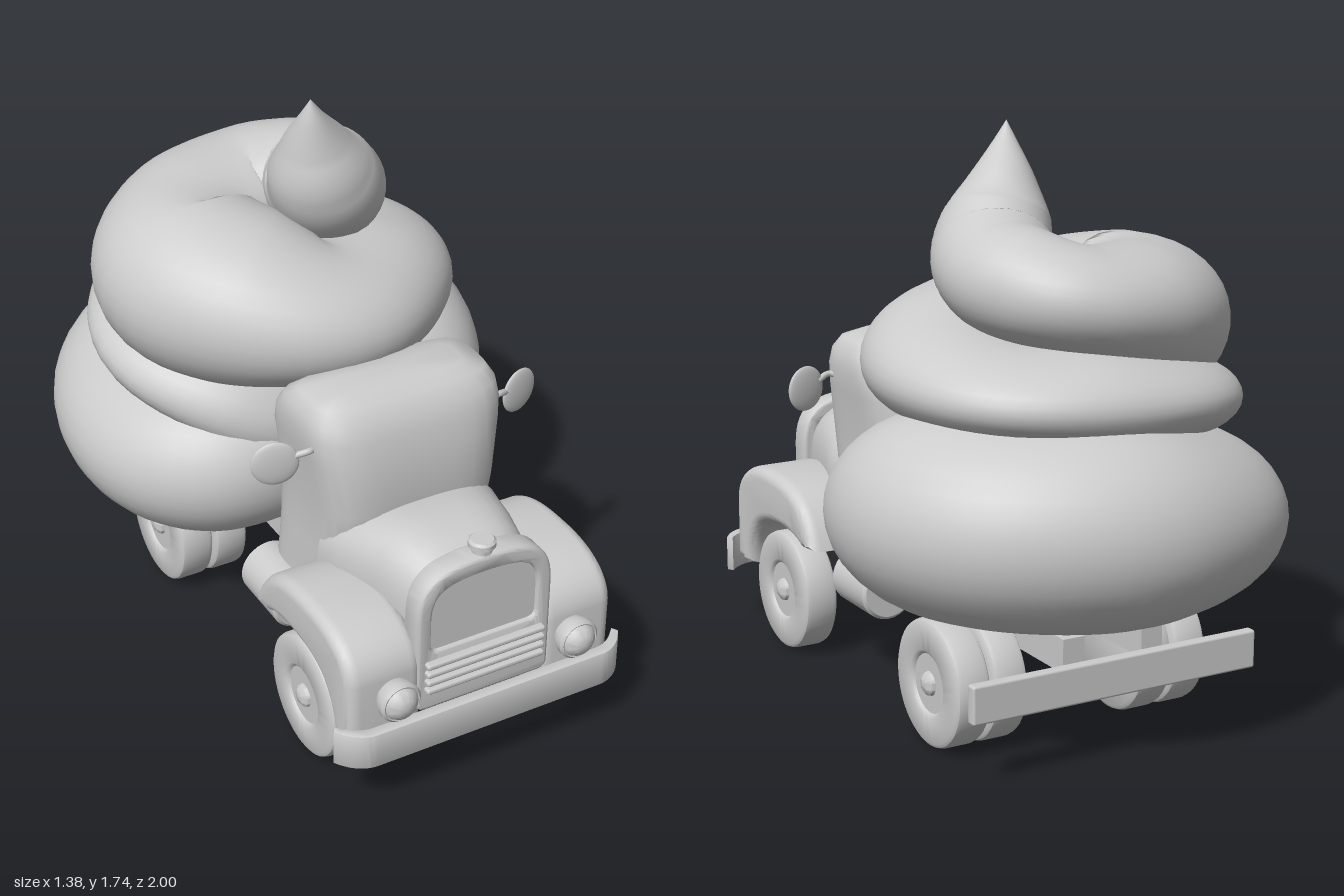
import * as THREE from 'three';
import { toCreasedNormals } from 'three/addons/utils/BufferGeometryUtils.js';
import { RoundedBoxGeometry } from 'three/addons/geometries/RoundedBoxGeometry.js';

const mat = new THREE.MeshStandardMaterial({ color: 0xcccccc, roughness: 0.7 });
const V = (x, y, z) => new THREE.Vector3(x, y, z);

function add(parent, name, geo, x = 0, y = 0, z = 0) {
  const m = new THREE.Mesh(geo, mat);
  m.name = name;
  m.position.set(x, y, z);
  parent.add(m);
  return m;
}

// Closed skin over rings of points; rings run counter-clockwise about the travel direction
function skin(rings) {
  const n = rings[0].length, pos = [], idx = [];
  const center = r => r.reduce((c, p) => c.add(p), V(0, 0, 0)).divideScalar(n);
  const all = [rings[0].map(() => center(rings[0])), ...rings, rings[0].map(() => center(rings.at(-1)))];
  all.forEach(r => r.forEach(p => pos.push(p.x, p.y, p.z)));
  for (let i = 0; i < all.length - 1; i++)
    for (let j = 0; j < n; j++) {
      const a = i * n + j, b = i * n + (j + 1) % n;
      idx.push(a, b, a + n, b, b + n, a + n);
    }
  const g = new THREE.BufferGeometry();
  g.setAttribute('position', new THREE.Float32BufferAttribute(pos, 3));
  g.setIndex(idx);
  g.computeVertexNormals();
  return g;
}

// Unit rounded square
function roundedRing(power, n = 48) {
  return Array.from({ length: n }, (_, j) => {
    const a = (j / n) * Math.PI * 2, c = Math.cos(a), s = Math.sin(a);
    const k = Math.pow(Math.abs(c) ** power + Math.abs(s) ** power, -1 / power);
    return [c * k, s * k];
  });
}

// Soft spiral: one key per 45 degrees, as centre x, y, z, horizontal and vertical radius
function swirlGeometry() {
  const keys = [
    [-0.1, 0.64, 0.02, 0.2, 0.22], [-0.29, 0.615, -0.12, 0.31, 0.26], [-0.34, 0.605, -0.31, 0.35, 0.265],
    [-0.25, 0.64, -0.54, 0.36, 0.27], [0, 0.68, -0.66, 0.34, 0.3], [0.25, 0.69, -0.55, 0.35, 0.3],
    [0.35, 0.69, -0.34, 0.34, 0.3], [0.26, 0.65, -0.14, 0.31, 0.26], [0, 0.7, -0.12, 0.27, 0.24],
    [-0.22, 0.84, -0.12, 0.27, 0.17], [-0.34, 0.93, -0.28, 0.26, 0.13], [-0.22, 0.98, -0.47, 0.28, 0.13],
    [0, 1.02, -0.52, 0.28, 0.14], [0.19, 1.04, -0.45, 0.28, 0.13], [0.27, 1.06, -0.27, 0.25, 0.15],
    [0.21, 1.08, -0.08, 0.25, 0.18], [0, 1.1, 0.05, 0.28, 0.19], [-0.19, 1.13, -0.05, 0.3, 0.25],
    [-0.3, 1.15, -0.25, 0.3, 0.27], [-0.2, 1.22, -0.41, 0.26, 0.21], [0, 1.28, -0.46, 0.23, 0.16],
    [0.12, 1.32, -0.37, 0.19, 0.165], [0.135, 1.34, -0.265, 0.185, 0.165], [0.1, 1.385, -0.16, 0.18, 0.17],
    [0.05, 1.475, -0.105, 0.155, 0.155], [0.018, 1.575, -0.075, 0.1, 0.1], [-0.006, 1.665, -0.047, 0.045, 0.045],
    [-0.02, 1.74, -0.03, 0, 0],
  ];
  const path = new THREE.CatmullRomCurve3(keys.map(k => V(k[0], k[1], k[2])), false, 'catmullrom');
  const size = new THREE.CatmullRomCurve3(keys.map(k => V(k[3], k[4], 0)), false, 'catmullrom');
  const steps = (keys.length - 1) * 8, rings = [];
  for (let i = 0; i <= steps; i++) {
    const t = i / steps, ang = -Math.PI + t * (keys.length - 1) * Math.PI / 4;
    const c = path.getPoint(t), r = size.getPoint(t), T = path.getTangent(t);
    const S = V(Math.sin(ang), 0, -Math.cos(ang));
    S.addScaledVector(T, -S.dot(T)).normalize();
    const U = T.clone().cross(S);
    rings.push(Array.from({ length: 36 }, (_, j) => {
      const a = (j / 36) * Math.PI * 2;
      return c.clone().addScaledVector(S, Math.max(r.x, 0) * Math.cos(a)).addScaledVector(U, Math.max(r.y, 0) * Math.sin(a));
    }));
  }
  return skin(rings);
}

// Cab: level sections as y, back z, front z, half width
function cabGeometry() {
  const rows = [[0.39, 0.13, 0.45, 0.28], [0.55, 0.13, 0.55, 0.275], [0.72, 0.13, 0.59, 0.275], [0.88, 0.135, 0.57, 0.3],
    [0.95, 0.165, 0.555, 0.307], [1.0, 0.21, 0.535, 0.3], [1.04, 0.265, 0.5, 0.275], [1.06, 0.315, 0.46, 0.21], [1.07, 0.36, 0.42, 0.08]];
  const unit = roundedRing(4.5);
  return toCreasedNormals(skin(rows.map(([y, b, f, w]) =>
    unit.map(([u, v]) => V(u * w, y, (b + f) / 2 - v * (f - b) / 2)))), 0.9);
}

// Hood: upright sections as z, half width, top
function hoodGeometry() {
  const rows = [[0.45, 0.28, 0.71], [0.55, 0.275, 0.73], [0.62, 0.255, 0.74], [0.7, 0.235, 0.75], [0.79, 0.215, 0.735], [0.86, 0.19, 0.7]];
  const unit = roundedRing(3.2);
  return toCreasedNormals(skin(rows.map(([z, w, top]) =>
    unit.map(([u, v]) => V(u * w, (top + 0.3) / 2 + v * (top - 0.3) / 2, z)))), 0.9);
}

function fenderGeometry() {
  const s = new THREE.Shape();
  s.moveTo(0.92, 0.22);
  s.lineTo(0.92, 0.43);
  s.bezierCurveTo(0.91, 0.53, 0.8, 0.575, 0.66, 0.57);
  s.bezierCurveTo(0.48, 0.57, 0.4, 0.52, 0.345, 0.385);
  s.lineTo(0.43, 0.375);
  s.bezierCurveTo(0.5, 0.42, 0.72, 0.42, 0.77, 0.35);
  s.quadraticCurveTo(0.815, 0.3, 0.825, 0.22);
  const g = new THREE.ExtrudeGeometry(s, { depth: 0.16, bevelSize: 0.035, bevelOffset: -0.035, bevelThickness: 0.04, bevelSegments: 6, curveSegments: 16 });
  g.translate(0, 0, -0.08).rotateY(-Math.PI / 2);
  return toCreasedNormals(g, 0.7);
}

function archShape(P, w, y0, y1, r, low) {
  const s = new P();
  s.moveTo(-w + low, y0);
  s.lineTo(w - low, y0);
  s.quadraticCurveTo(w, y0, w, y0 + low);
  s.lineTo(w, y1 - r);
  s.bezierCurveTo(w, y1 - r * 0.25, w * 0.8, y1, 0, y1);
  s.bezierCurveTo(-w * 0.8, y1, -w, y1 - r * 0.25, -w, y1 - r);
  s.lineTo(-w, y0 + low);
  s.quadraticCurveTo(-w, y0, -w + low, y0);
  return s;
}

// Front bumper: plan outline with swept-back ends
function bumperGeometry() {
  const s = new THREE.Shape();
  s.moveTo(-0.465, 0.893);
  s.quadraticCurveTo(-0.42, 0.945, -0.37, 0.945);
  s.lineTo(0.37, 0.945);
  s.quadraticCurveTo(0.42, 0.945, 0.465, 0.893);
  s.lineTo(0.472, 0.905);
  s.quadraticCurveTo(0.43, 0.972, 0.37, 0.972);
  s.lineTo(-0.37, 0.972);
  s.quadraticCurveTo(-0.43, 0.972, -0.472, 0.905);
  const g = new THREE.ExtrudeGeometry(s, { depth: 0.105, bevelSize: 0.005, bevelThickness: 0.005, bevelSegments: 2 });
  return toCreasedNormals(g.rotateX(Math.PI / 2), 0.6);
}

const lathe = (pts, n = 40) =>
  toCreasedNormals(new THREE.LatheGeometry(pts.map(p => new THREE.Vector2(...p)), n), 0.6);

export function createModel() {
  const model = new THREE.Group();
  model.name = 'swirlTruck';
  add(model, 'swirl', swirlGeometry());

  const truck = new THREE.Group();
  truck.name = 'truck';
  truck.position.x = 0.02;
  model.add(truck);
  add(truck, 'cab', cabGeometry());
  add(truck, 'hood', hoodGeometry());

  // Grille surround, recessed panel, bars and cap
  const shell = archShape(THREE.Shape, 0.208, 0.28, 0.73, 0.16, 0.02);
  shell.holes.push(archShape(THREE.Path, 0.185, 0.455, 0.7, 0.13, 0.04));
  const bevel = { depth: 0.055, bevelSize: 0.012, bevelThickness: 0.012, bevelSegments: 4, curveSegments: 16 };
  add(truck, 'grilleShell', toCreasedNormals(new THREE.ExtrudeGeometry(shell, bevel), 0.7), 0, 0, 0.852);
  const panel = new THREE.ExtrudeGeometry(archShape(THREE.Shape, 0.19, 0.45, 0.705, 0.13, 0.04), { depth: 0.03, bevelEnabled: false });
  add(truck, 'grillePanel', panel, 0, 0, 0.875);
  for (let i = 0; i < 4; i++)
    add(truck, 'grilleBar', new RoundedBoxGeometry(0.39, 0.019, 0.03, 2, 0.008), 0, 0.345 + i * 0.029, 0.925);
  add(truck, 'radiatorCap', lathe([[0, 0], [0.03, 0], [0.03, 0.025], [0.04, 0.03], [0.04, 0.045], [0.033, 0.052], [0, 0.052]], 24), 0, 0.73, 0.885);

  // Bumpers
  add(truck, 'frontBumper', bumperGeometry(), 0, 0.293, 0);
  add(truck, 'rearBumper', new RoundedBoxGeometry(0.94, 0.115, 0.035, 2, 0.008), 0, 0.25, -0.715);

  const wheel = lathe([[0, -0.055], [0.175, -0.055], [0.186, -0.048], [0.19, -0.036], [0.19, 0.036], [0.186, 0.048], [0.175, 0.055],
    [0.1, 0.055], [0.092, 0.05], [0.088, 0.044], [0.036, 0.044], [0.033, 0.054], [0.02, 0.064], [0, 0.068]], 48);
  const lamp = lathe([[0, -0.04], [0.05, -0.04], [0.064, 0], [0.064, 0.018], [0.056, 0.026], [0.052, 0.024], [0.045, 0.036], [0.028, 0.05], [0, 0.056]], 32);
  const tank = lathe([[0, -0.11], [0.08, -0.11], [0.09, -0.1], [0.09, 0.1], [0.08, 0.11], [0, 0.11]], 32);
  const fender = fenderGeometry();

  // Paired parts
  for (const s of [1, -1]) {
    add(truck, 'fender', fender, s * 0.318, 0, 0);
    add(truck, 'headlight', lamp, s * 0.295, 0.37, 0.943).rotation.x = Math.PI / 2;
    add(truck, 'fuelTank', tank, s * 0.28, 0.3, 0.235).rotation.x = Math.PI / 2;
    add(truck, 'frameRail', new THREE.BoxGeometry(0.07, 0.1, 1.5), s * 0.13, 0.33, 0.05);
    for (const [name, x, z] of [['frontWheel', 0.365, 0.61], ['rearOuterWheel', 0.365, -0.37], ['rearInnerWheel', 0.245, -0.37]])
      add(truck, name, wheel, s * x, 0.19, z).rotation.z = -s * Math.PI / 2;

    const mirror = add(truck, 'mirror', new THREE.SphereGeometry(0.07, 28, 18), s * 0.405, 0.89, 0.43);
    mirror.scale.z = 0.2;
    mirror.rotation.y = s * 0.3;
    const arm = new THREE.CatmullRomCurve3([V(s * 0.27, 0.905, 0.43), V(s * 0.31, 0.92, 0.46), V(s * 0.36, 0.905, 0.44)]);
    add(truck, 'mirrorArm', new THREE.TubeGeometry(arm, 10, 0.01, 8));
  }
  return model;
}
